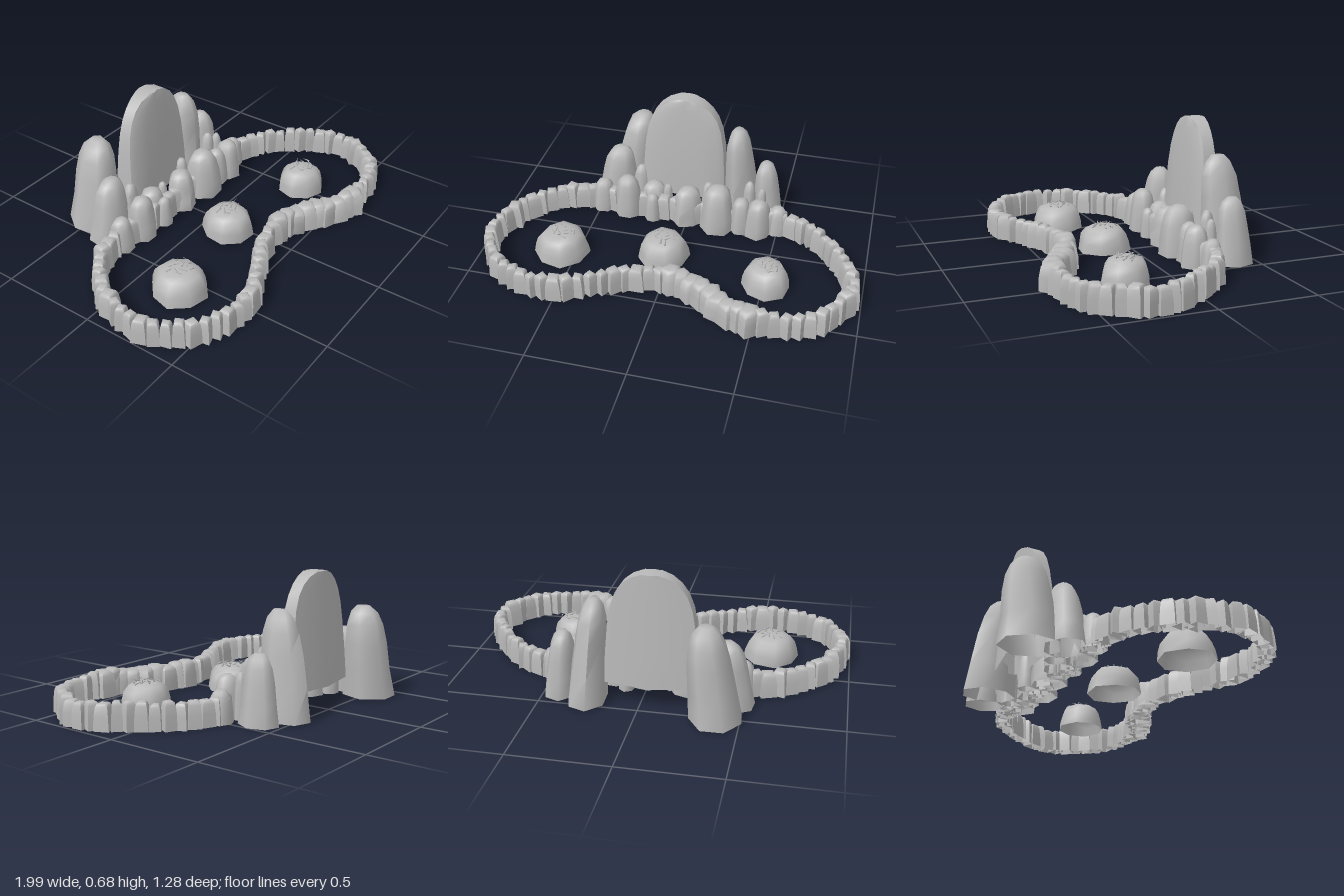
import * as THREE from 'three';
import { toCreasedNormals } from 'three/addons/utils/BufferGeometryUtils.js';

export function createModel() {
  const model = new THREE.Group();
  model.name = 'rockPool';
  const stone = new THREE.MeshStandardMaterial({ color: 0xb8b8b8, side: THREE.DoubleSide });
  stone.name = 'grey stone';

  let seed = 11;
  const rand = () => {
    seed = (seed * 16807) % 2147483647;
    return seed / 2147483647;
  };
  const vary = (amount) => 1 + (rand() * 2 - 1) * amount;

  // Skins a stack of cross-section loops, closed on top and open below
  function loft(loops, crease) {
    const n = loops[0].length;
    const pos = loops.flat(2);
    const last = loops.length - 1;
    const c = [0, 1, 2].map((k) => loops[last].reduce((s, p) => s + p[k], 0) / n);
    pos.push(...c);
    const index = [];
    for (let r = 0; r < last; r++) {
      for (let i = 0; i < n; i++) {
        const j = (i + 1) % n;
        const a = r * n + i, b = r * n + j;
        index.push(a, a + n, b, b, a + n, b + n);
      }
    }
    for (let i = 0; i < n; i++) index.push(loops.length * n, last * n + (i + 1) % n, last * n + i);
    const g = new THREE.BufferGeometry();
    g.setAttribute('position', new THREE.Float32BufferAttribute(pos, 3));
    g.setIndex(index);
    return toCreasedNormals(g, crease);
  }

  function add(name, geometry, parent = model) {
    const mesh = new THREE.Mesh(geometry, stone);
    mesh.name = name;
    parent.add(mesh);
    return mesh;
  }

  // Irregular rock: profile rows are [height fraction, radius fraction]
  const boulder = [[0, 1], [0.3, 0.95], [0.6, 0.85], [0.8, 0.74], [0.93, 0.55], [1, 0.26]];
  function rock({ x, z, rx, rz, h, sides = 7, profile = boulder, lean = [0, 0], rough = 0.1, crease = 1.2 }) {
    const turn = rand() * Math.PI * 2;
    const bumps = Array.from({ length: sides }, () => vary(rough));
    const loops = profile.map(([t, r]) => bumps.map((b, i) => {
      const a = turn + (i / sides) * Math.PI * 2;
      const k = r * b * vary(0.03);
      return [x + lean[0] * t + Math.cos(a) * rx * k, h * t, z + lean[1] * t + Math.sin(a) * rz * k];
    }));
    return loft(loops, crease);
  }

  // Kidney-shaped rim of upright stones
  const path = new THREE.CatmullRomCurve3([
    [-0.945, 0.17], [-0.89, 0.02], [-0.8, -0.09], [-0.66, -0.19], [-0.53, -0.22], [-0.3, -0.2],
    [0, -0.2], [0.3, -0.2], [0.53, -0.21], [0.65, -0.17], [0.755, -0.085], [0.87, 0.06],
    [0.955, 0.245], [0.9, 0.41], [0.79, 0.53], [0.65, 0.575], [0.41, 0.56], [0.25, 0.46],
    [0.09, 0.39], [-0.01, 0.385], [-0.155, 0.42], [-0.315, 0.5], [-0.475, 0.57], [-0.6, 0.585],
    [-0.72, 0.55], [-0.82, 0.5], [-0.9, 0.41], [-0.95, 0.3],
  ].map(([x, z]) => new THREE.Vector3(x, 0, z)), true);
  const rim = new THREE.Group();
  rim.name = 'poolRim';
  model.add(rim);
  const rimProfile = [[0, 1], [0.5, 0.95], [0.85, 0.82], [0.96, 0.64], [1, 0.35]];
  const count = 80;
  for (let i = 0; i < count; i++) {
    const p = path.getPointAt(i / count);
    const large = p.z > 0.38 && p.x > 0.05 && p.x < 0.52;
    const r = (large ? 0.064 : 0.048) * vary(0.18);
    add('rimStone', rock({
      x: p.x, z: p.z, rx: r, rz: r, h: 0.134 * vary(0.06),
      sides: large ? 5 : 4, profile: rimProfile, rough: 0.12,
    }), rim);
  }

  // Arched slab raised behind the pool, with bulging front and back
  const slabRows = [[0.1, 0.232], [0.25, 0.227], [0.4, 0.216], [0.5, 0.2], [0.57, 0.175],
    [0.62, 0.14], [0.655, 0.095], [0.675, 0.04]];
  add('archedSlab', loft(slabRows.map(([y, w]) => {
    const t = y / 0.675;
    const front = -0.285 - 0.045 * t * t, back = -0.47 + 0.045 * t;
    const edge = w / 0.235;
    return [[1, front - 0.03 * edge], [0.88, front - 0.012], [0.45, front - 0.004], [0, front],
      [-0.45, front - 0.004], [-0.88, front - 0.012], [-1, front - 0.03 * edge],
      [-1, back + 0.04 * edge], [0, back], [1, back + 0.04 * edge]]
      .map(([u, z]) => [-0.05 + u * w, y, z]);
  }), 0.9));

  // Tall flared boulders flanking the slab: x, z, rx, rz, height, lean
  const flared = [[0, 1], [0.3, 0.89], [0.6, 0.79], [0.8, 0.68], [0.93, 0.5], [1, 0.25]];
  [
    [-0.385, -0.49, 0.13, 0.155, 0.475, [0.06, -0.005]],
    [-0.44, -0.34, 0.122, 0.1, 0.335, [0.03, 0]],
    [0.27, -0.415, 0.1, 0.142, 0.52, [-0.03, 0.045]],
    [0.415, -0.38, 0.085, 0.105, 0.335, [-0.015, 0.01]],
  ].forEach(([x, z, rx, rz, h, lean]) => {
    add('tallBoulder', rock({ x, z, rx, rz, h, lean, profile: flared, rough: 0.06 }));
  });

  // Low rocks heaped in front of the slab: x, z, radius, height
  [
    [-0.48, -0.22, 0.068, 0.18], [-0.34, -0.2, 0.078, 0.235], [-0.2, -0.25, 0.08, 0.19],
    [-0.19, -0.17, 0.045, 0.16], [0, -0.21, 0.09, 0.21], [0.17, -0.19, 0.1, 0.26],
    [0.3, -0.19, 0.065, 0.2], [0.4, -0.18, 0.075, 0.21], [0.5, -0.22, 0.06, 0.16],
    [-0.12, -0.24, 0.035, 0.19], [0.1, -0.28, 0.045, 0.21], [0.33, -0.27, 0.045, 0.26],
    [-0.29, -0.32, 0.05, 0.24], [0.4, -0.26, 0.035, 0.23],
  ].forEach(([x, z, r, h]) => add('lowRock', rock({ x, z, rx: r, rz: r, h })));

  // Three domed stones in the pool, each with a tuft of short sprawling blades
  const dome = [[0, 1], [0.35, 0.95], [0.65, 0.86], [0.87, 0.69], [0.97, 0.42], [1, 0.15]];
  [[-0.58, 0.225, 0.147], [-0.05, 0.14, 0.135], [0.515, 0.24, 0.125]].forEach(([x, z, r]) => {
    const island = new THREE.Group();
    island.name = 'island';
    model.add(island);
    add('domedStone', rock({ x, z, rx: r, rz: r, h: 0.135, sides: 8, profile: dome, rough: 0.05 }), island);
    for (let i = 0; i < 14; i++) {
      const a = i * 2.4, d = 0.016 * Math.sqrt(i + 1);
      const blade = add('tuftBlade', new THREE.ConeGeometry(0.005, 0.04, 4), island);
      blade.position.set(x + 0.01 + Math.cos(a) * d, 0.14, z + Math.sin(a) * d);
      blade.rotation.set(0, rand() * Math.PI * 2, 1.1, 'YXZ');
    }
  });

  return model;
}
